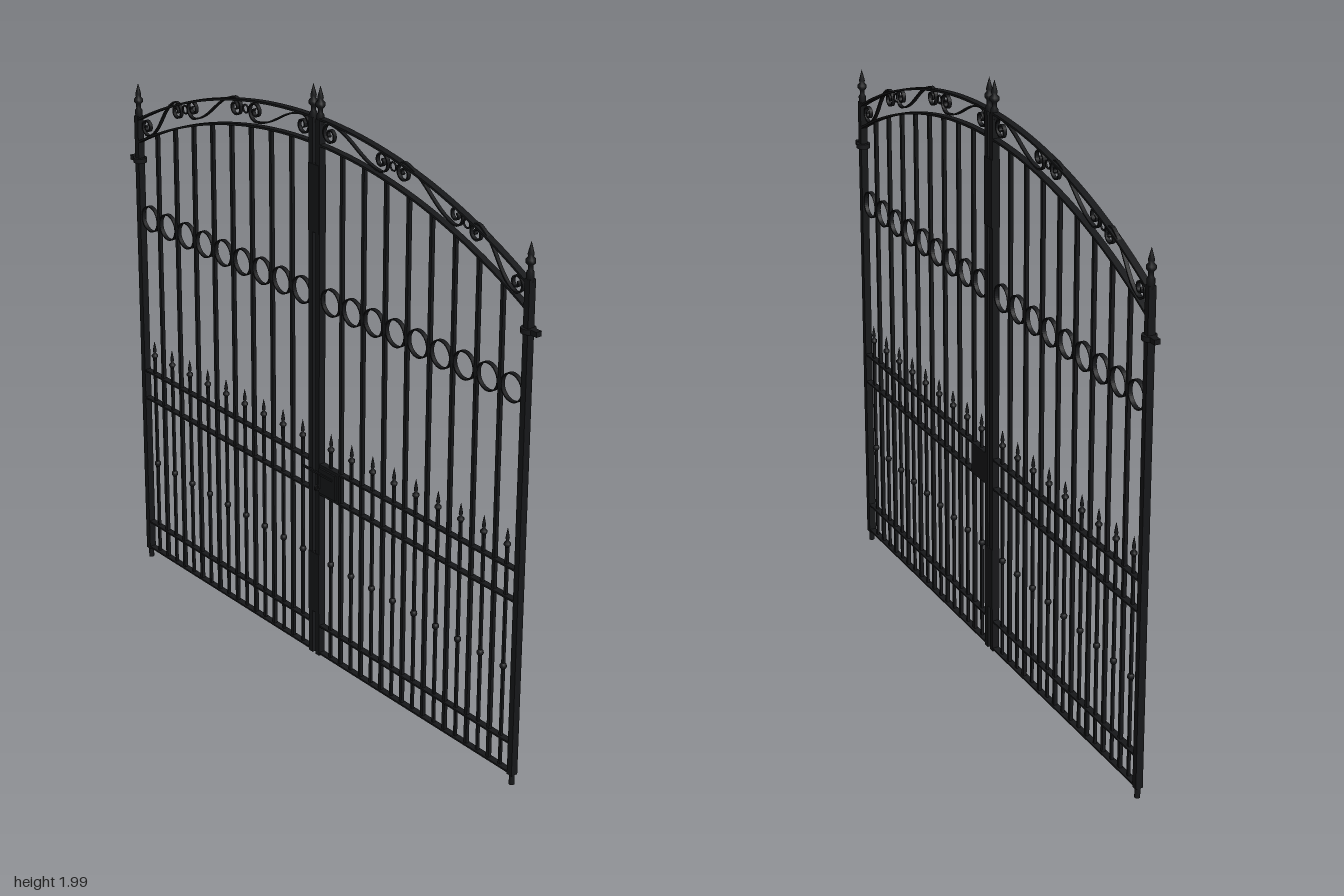
import * as THREE from 'three';

const iron = new THREE.MeshStandardMaterial({ color: 0x17181a });
iron.name = 'black iron';
const Z = -0.009; // middle plane of the ironwork

export function createModel() {
  const root = new THREE.Group();
  root.name = 'doubleGate';

  const add = (parent, name, geo, x = 0, y = 0, z = Z) => {
    const m = new THREE.Mesh(geo, iron);
    m.name = name;
    m.position.set(x, y, z);
    parent.add(m);
    return m;
  };
  const box = (parent, name, x0, x1, y0, y1, depth, z = Z) =>
    add(parent, name, new THREE.BoxGeometry(Math.abs(x1 - x0), y1 - y0, depth), (x0 + x1) / 2, (y0 + y1) / 2, z);
  const lathe = (pts, seg = 12) => new THREE.LatheGeometry(pts.map(p => new THREE.Vector2(...p)), seg);

  // Flat strip of iron following a path in the x-y plane
  const ribbon = (pts, thick, depth) => {
    const left = [], right = [];
    pts.forEach((p, i) => {
      const a = pts[Math.max(i - 1, 0)], b = pts[Math.min(i + 1, pts.length - 1)];
      const d = new THREE.Vector2(b.x - a.x, b.y - a.y).normalize().multiplyScalar(thick / 2);
      left.push(new THREE.Vector2(p.x - d.y, p.y + d.x));
      right.unshift(new THREE.Vector2(p.x + d.y, p.y - d.x));
    });
    const geo = new THREE.ExtrudeGeometry(new THREE.Shape([...left, ...right]), { depth, bevelEnabled: false });
    return geo.translate(0, 0, -depth / 2);
  };

  // Arch curves
  const arc = (top, R) => x => top - R + Math.sqrt(R * R - x * x);
  const upper = arc(1.882, 1.98), lower = arc(1.8, 2.01);

  // S-scroll: a curl at each end joined by a soft sweep
  const scroll = (s, ax, ay, bx, by, r) => {
    const tilt = Math.atan2(by - ay, bx - ax), n = 36, turns = Math.PI * 2.9;
    const curl = (cx, cy, side) => Array.from({ length: n + 1 }, (_, i) => {
      const rad = r * (0.2 + 0.8 * i / n), a = tilt + side * Math.PI / 2 + turns * (1 - i / n);
      return new THREE.Vector2(cx + rad * Math.cos(a), cy + rad * Math.sin(a));
    });
    const start = curl(ax, ay, 1), end = curl(bx, by, -1).reverse();
    const pull = new THREE.Vector2(Math.cos(tilt), Math.sin(tilt)).multiplyScalar(0.4 * Math.hypot(bx - ax, by - ay));
    const p = start[n], q = end[0];
    const sweep = new THREE.CubicBezierCurve(p, p.clone().add(pull), q.clone().sub(pull), q).getPoints(16).slice(1, -1);
    return ribbon([...start, ...sweep, ...end].map(v => new THREE.Vector2(v.x * s, v.y)), 0.005, 0.012);
  };

  // Shared small pieces
  const postFinial = lathe([[0, 0], [0.012, 0], [0.012, 0.03], [0.008, 0.036], [0.008, 0.05],
    [0.015, 0.058], [0.015, 0.068], [0.008, 0.076], [0.01, 0.084], [0.005, 0.104], [0, 0.122]]);
  const spear = lathe([[0, 0], [0.005, 0], [0.011, 0.008], [0.011, 0.014], [0.004, 0.021],
    [0.0065, 0.03], [0.004, 0.046], [0, 0.066]], 10);
  const bead = new THREE.SphereGeometry(0.0115, 10, 8);
  const ringShape = new THREE.Shape().absarc(0, 0, 0.0455, 0, Math.PI * 2);
  ringShape.holes.push(new THREE.Path().absarc(0, 0, 0.0415, 0, Math.PI * 2, true));
  const ring = new THREE.ExtrudeGeometry(ringShape, { depth: 0.014, bevelEnabled: false, curveSegments: 20 })
    .translate(0, 0, -0.007);
  const smallRing = new THREE.TorusGeometry(0.013, 0.003, 6, 16);

  for (const s of [1, -1]) {
    const leaf = new THREE.Group();
    leaf.name = s > 0 ? 'leftLeaf' : 'rightLeaf';
    root.add(leaf);

    // Posts with finials
    box(leaf, 'outerPost', s * 0.946, s * 0.967, 0.035, 1.65, 0.024);
    add(leaf, 'pivotPin', new THREE.CylinderGeometry(0.009, 0.009, 0.04, 12), s * 0.956, 0.02);
    add(leaf, 'outerFinial', postFinial, s * 0.956, 1.64);
    box(leaf, 'meetingPost', s * 0.007, s * 0.027, 0.033, 1.88, 0.024);
    add(leaf, 'meetingFinial', postFinial, s * 0.017, 1.863);

    // Upper hinge
    add(leaf, 'hingeCollar', new THREE.CylinderGeometry(0.023, 0.023, 0.016, 16), s * 0.956, 1.496);
    box(leaf, 'hingeLug', s * 0.956, s, 1.488, 1.504, 0.02);

    // Horizontal rails
    for (const y of [0.042, 0.144, 0.628, 0.731])
      box(leaf, 'rail', s * 0.02, s * 0.95, y - 0.003, y + 0.003, 0.022);

    // Arched top rails
    for (const f of [upper, lower]) {
      const pts = [];
      for (let i = 0; i <= 28; i++) {
        const x = 0.02 + (0.93 * i) / 28;
        pts.push(new THREE.Vector2(s * x, f(x)));
      }
      add(leaf, 'archRail', ribbon(pts, 0.007, 0.022));
    }

    // Full-height bars
    for (let i = 0; i < 8; i++) {
      const x = 0.1245 + 0.1035 * i;
      box(leaf, 'tallBar', s * (x - 0.006), s * (x + 0.006), 0.042, lower(x), 0.012);
    }

    // Short spear-topped bars and the ring row
    for (let i = 0; i < 9; i++) {
      const x = s * (0.073 + 0.1035 * i);
      box(leaf, 'shortBar', x - 0.0045, x + 0.0045, 0.042, 0.8, 0.009);
      add(leaf, 'spearHead', spear, x, 0.788);
      add(leaf, 'barBead', bead, x, 0.388);
      add(leaf, 'ring', ring, x, 1.3);
    }

    // Scrollwork in the arch
    add(leaf, 'scroll', scroll(s, 0.066, 1.842, 0.308, 1.824, 0.034));
    add(leaf, 'scroll', scroll(s, 0.411, 1.814, 0.643, 1.75, 0.033));
    add(leaf, 'scroll', scroll(s, 0.733, 1.72, 0.904, 1.623, 0.031));
    add(leaf, 'scrollRing', smallRing, s * 0.36, 1.82);
    add(leaf, 'scrollRing', smallRing, s * 0.688, 1.736);
  }

  // Cover plates where the leaves meet
  box(root, 'upperMeetingPlate', -0.026, 0.026, 1.515, 1.735, 0.028);
  box(root, 'lowerMeetingPlate', -0.026, 0.026, 0.19, 0.407, 0.028);

  // Lock, latch and handle
  const lock = new THREE.Group();
  lock.name = 'lock';
  root.add(lock);
  box(lock, 'lockCase', 0.024, 0.125, 0.628, 0.731, 0.022);
  box(lock, 'lockPlate', 0.03, 0.112, 0.637, 0.724, 0.007, 0.005);
  box(lock, 'latchBar', -0.047, 0.1, 0.702, 0.709, 0.006, 0.01);
  box(lock, 'latchGrip', 0.036, 0.041, 0.655, 0.709, 0.005, 0.014);
  const pullRing = add(lock, 'latchRing', new THREE.TorusGeometry(0.009, 0.0025, 6, 16), 0.0385, 0.661, 0.0215);
  pullRing.rotation.y = Math.PI / 2;

  return root;
}
